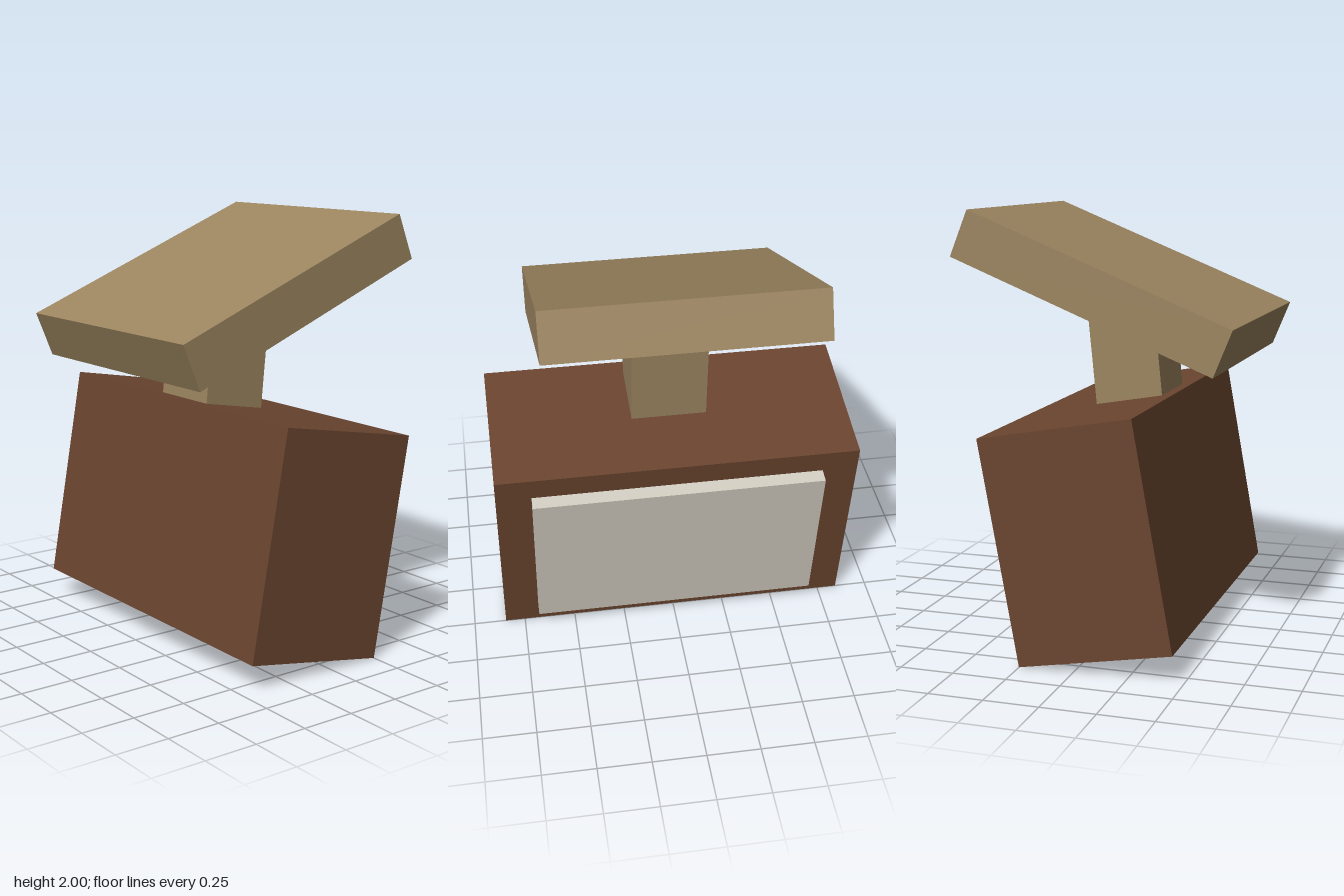
import * as THREE from 'three';

export function createModel() {
  const model = new THREE.Group();
  const brown = new THREE.MeshStandardMaterial({ color: 0x6b4530 });
  brown.name = 'brown';
  const tan = new THREE.MeshStandardMaterial({ color: 0x9c8560 });
  tan.name = 'tan';
  const paleGrey = new THREE.MeshStandardMaterial({ color: 0xd2cdc1 });
  paleGrey.name = 'paleGrey';

  // Box placed in the side plane and tilted about x
  const addBox = (parent, name, material, [w, h, d], y, z, tilt = 0) => {
    const mesh = new THREE.Mesh(new THREE.BoxGeometry(w, h, d), material);
    mesh.name = name;
    mesh.position.set(0, y, z);
    mesh.rotation.x = tilt;
    parent.add(mesh);
    return mesh;
  };

  // Torso leaning back, with a panel fixed to its back face
  const torso = addBox(model, 'torso', brown, [1.69, 1.037, 0.716], 0.578, 0.01, -0.178);
  addBox(torso, 'backPanel', paleGrey, [1.36, 0.808, 0.07], 0, -0.388);

  // Neck, sunk into torso and head
  addBox(model, 'neck', tan, [0.355, 0.57, 0.323], 1.335, 0.028, -0.098);

  // Flat head slab tipped forward
  addBox(model, 'head', tan, [1.23, 0.225, 1.302], 1.651, 0, 0.386);

  return model;
}
